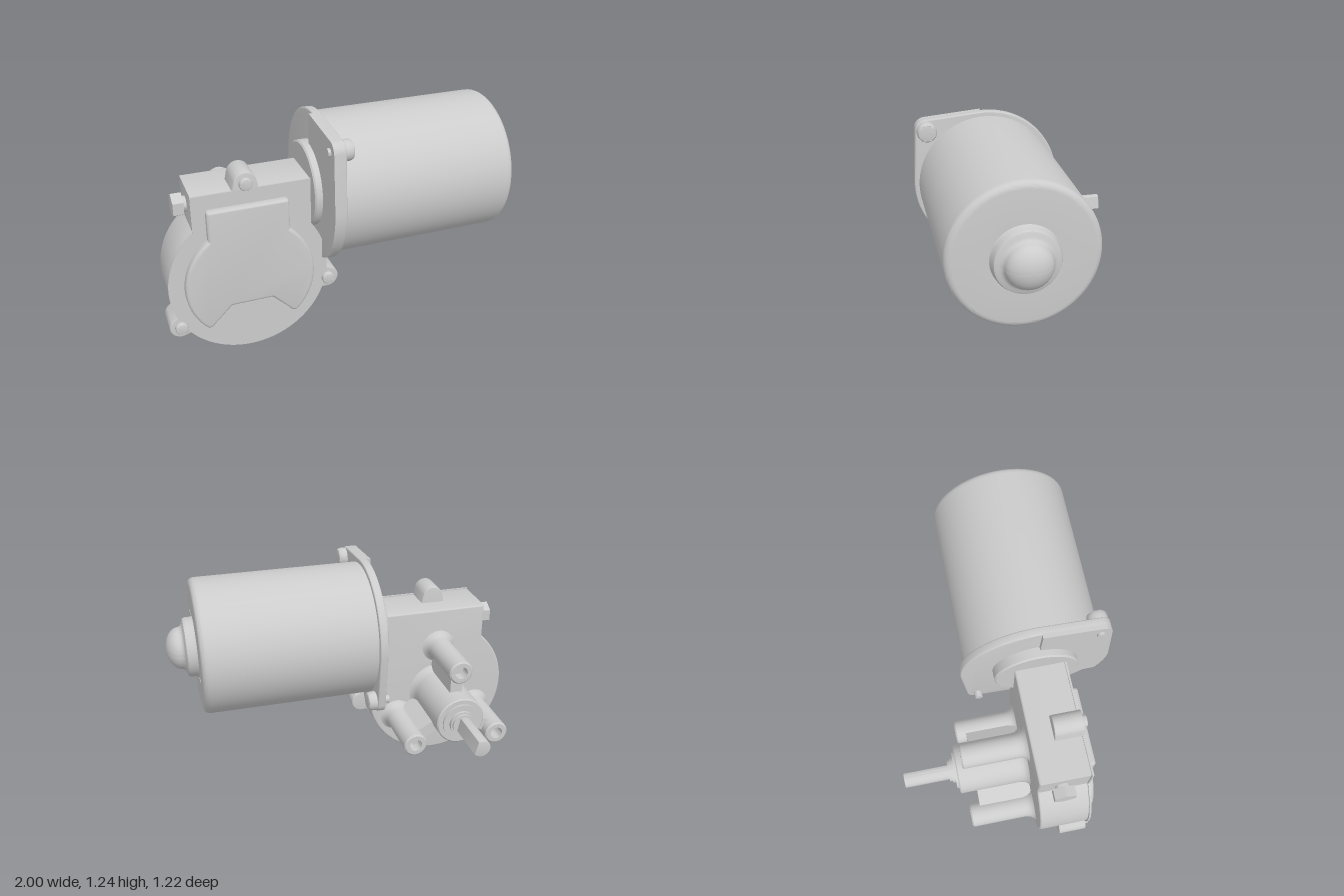
import * as THREE from 'three';
import { toCreasedNormals } from 'three/addons/utils/BufferGeometryUtils.js';

const mat = new THREE.MeshStandardMaterial({ color: 0xcccccc, side: THREE.DoubleSide });
const V = (x, y) => new THREE.Vector2(x, y);
const GX = -0.56, GY = 0.43;   // gear axis (along z)
const MY = 0.84, MZ = 0.205;   // motor axis (along x)

function add(parent, name, geo) {
  const mesh = new THREE.Mesh(toCreasedNormals(geo, 0.6), mat);
  mesh.name = name;
  parent.add(mesh);
  return mesh;
}

// Extrusion from z0 to z1; the bevel stays inside the given outline
function slab(shape, z0, z1, b = 0) {
  const geo = new THREE.ExtrudeGeometry(shape, {
    depth: z1 - z0 - 2 * b, curveSegments: 48, bevelEnabled: b > 0,
    bevelThickness: b, bevelSize: b, bevelOffset: -b, bevelSegments: 3,
  });
  return geo.translate(0, 0, z0 + b);
}

// Profiles of [radius, position]: turned about +x, or about -z
const lathe = (pts, n = 64) => new THREE.LatheGeometry(pts.map(p => V(...p)), n);
const turnX = (pts, n) => lathe(pts, n).rotateZ(-Math.PI / 2);
const turnBack = (pts, n) => lathe(pts, n).rotateX(-Math.PI / 2);

// Convex outline around circles [x, y, r]
function hull(circles, n = 120) {
  const pts = [];
  for (let i = 0; i < n; i++) {
    const a = (i / n) * Math.PI * 2, c = Math.cos(a), s = Math.sin(a);
    const support = k => k[0] * c + k[1] * s + k[2];
    const k = circles.reduce((p, q) => (support(q) > support(p) ? q : p));
    pts.push(V(k[0] + k[2] * c, k[1] + k[2] * s));
  }
  return pts;
}

// Gear housing outline: round case with a square worm box on top
function caseShape(r, inset) {
  const L = -0.84 + inset, R = -0.215 - inset, s = new THREE.Shape();
  const rise = x => Math.atan2(Math.sqrt(r * r - (x - GX) ** 2), x - GX);
  s.moveTo(R, 0.95 - inset);
  s.lineTo(L, 0.95 - inset);
  s.absarc(GX, GY, r, rise(L), rise(R), false);
  s.closePath();
  return s;
}

// Cross-slot screw facing +z
function screw(name, r, h) {
  const g = new THREE.Group();
  g.name = name;
  const head = new THREE.Shape().absarc(0, 0, r, 0, Math.PI * 2);
  const a = r * 0.14, b = r * 0.5;
  head.holes.push(new THREE.Path([
    V(a, a), V(a, b), V(-a, b), V(-a, a), V(-b, a), V(-b, -a),
    V(-a, -a), V(-a, -b), V(a, -b), V(a, -a), V(b, -a), V(b, a)]));
  const geo = new THREE.ExtrudeGeometry(head, {
    depth: h * 0.5, curveSegments: 16, bevelThickness: h * 0.5,
    bevelSize: r * 0.25, bevelOffset: -r * 0.25, bevelSegments: 3,
  });
  add(g, name + 'Head', geo);
  add(g, name + 'Core', new THREE.CylinderGeometry(r * 0.7, r * 0.7, h * 0.6, 24)
    .rotateX(Math.PI / 2).translate(0, 0, h * 0.3));
  return g;
}

export function createModel() {
  const model = new THREE.Group();

  // Motor can with rounded end, stepped boss and dome
  const motor = new THREE.Group();
  motor.name = 'motor';
  motor.position.set(0, MY, MZ);
  model.add(motor);
  const profile = [[0, -0.13], [0.38, -0.13], [0.38, 0.8]];
  for (let i = 1; i <= 6; i++) {
    const a = (i / 6) * Math.PI / 2;
    profile.push([0.345 + 0.035 * Math.cos(a), 0.805 + 0.035 * Math.sin(a)]);
  }
  profile.push([0.172, 0.84], [0.166, 0.85], [0.166, 0.88], [0.16, 0.894], [0.146, 0.9],
    [0.135, 0.902], [0.124, 0.908], [0.117, 0.92]);
  for (let i = 1; i <= 10; i++) {
    const a = (i / 10) * Math.PI / 2;
    profile.push([0.117 * Math.cos(a), 0.92 + 0.08 * Math.sin(a)]);
  }
  add(motor, 'motorCan', turnX(profile, 96));
  for (const s of [1, -1])
    add(motor, 'endPin', turnX([[0.018, 0.83], [0.018, 0.842], [0, 0.842]], 20))
      .position.set(0, 0.143 * s, 0.147 * s);

  // Mounting flange, its thicker front pad, and the adaptor disc
  const lugs = [[-0.53, 1.16], [0.11, 0.52]];
  const outline = hull([[-MZ, MY, 0.405], ...lugs.map(l => [...l, 0.06])]);
  add(model, 'flange', slab(new THREE.Shape(outline), -0.16, -0.115, 0.006).rotateY(Math.PI / 2));
  const pad = outline.filter(p => p.x <= -MZ && p.y >= 0.62);
  pad.push(V(-MZ, 0.62));
  add(model, 'flangePad', slab(new THREE.Shape(pad), -0.18, -0.15).rotateY(Math.PI / 2));
  add(model, 'adaptorDisc', turnX([[0, -0.22], [0.222, -0.22], [0.23, -0.212], [0.23, -0.15]]))
    .position.set(0, 0.85, MZ);
  for (const [u, y] of lugs) {
    const s = screw('flangeScrew', 0.054, 0.05);
    s.rotation.y = Math.PI / 2;
    s.position.set(-0.116, y, -u);
    model.add(s);
    add(model, 'screwTip', turnX([[0, -0.195], [0.022, -0.195], [0.022, -0.15]], 20))
      .position.set(0, y, -u);
  }

  // Gear housing with cover plate
  add(model, 'gearHousing', slab(caseShape(0.42, 0.004), 0.08, 0.352, 0.01));
  add(model, 'coverPlate', slab(caseShape(0.428, 0), 0.35, 0.36));

  // Raised cover panel
  const cover = new THREE.Shape();
  const deg = Math.PI / 180;
  cover.moveTo(-0.345, 0.855);
  cover.quadraticCurveTo(-0.345, 0.87, -0.36, 0.87);
  cover.lineTo(-0.755, 0.87);
  cover.quadraticCurveTo(-0.77, 0.87, -0.77, 0.855);
  cover.absarc(GX, GY, 0.345, 127.5 * deg, 222 * deg, false);
  cover.quadraticCurveTo(-0.79, 0.17, -0.76, 0.21);
  cover.lineTo(-0.67, 0.3);
  cover.lineTo(-0.45, 0.3);
  cover.lineTo(-0.36, 0.21);
  cover.quadraticCurveTo(-0.33, 0.17, GX + 0.345 * Math.cos(318 * deg), GY + 0.345 * Math.sin(318 * deg));
  cover.absarc(GX, GY, 0.345, 318 * deg, 51.5 * deg, false);
  cover.closePath();
  add(model, 'coverPanel', slab(cover, 0.34, 0.398, 0.015));

  // Cover lugs and screws
  for (const [x, y] of [[GX, 0.98], [-0.94, 0.205], [-0.128, 0.335]]) {
    const dx = (GX - x), dy = (GY - y), k = 0.1 / Math.hypot(dx, dy);
    const lug = hull([[x, y, 0.06], [x + dx * k, y + dy * k, 0.08]], 64);
    add(model, 'coverLug', slab(new THREE.Shape(lug), 0.205, 0.36, 0.004));
    const s = screw('coverScrew', 0.034, 0.025);
    s.position.set(x, y, 0.359);
    model.add(s);
  }

  // Output hub with bearing rings
  add(model, 'outputHub', turnBack([
    [0.18, -0.085], [0.158, -0.075], [0.145, -0.055], [0.14, -0.03], [0.14, 0.308], [0.133, 0.315],
    [0.108, 0.315], [0.108, 0.327], [0.072, 0.327], [0.072, 0.345], [0.062, 0.345], [0.062, 0.36],
    [0, 0.36]])).position.set(GX, GY, 0);

  // Output shaft with a flat toward the motor side
  const flat = new THREE.Shape();
  flat.absarc(0, 0, 0.05, 65 * deg, 319 * deg, false);
  flat.closePath();
  add(model, 'outputShaft', slab(flat, -0.612, -0.3, 0.004)).position.set(GX, GY, 0);

  // Three mounting posts joined to the hub by ribs
  for (const a of [90, 210, 330]) {
    const arm = new THREE.Group();
    arm.name = 'mountingPost';
    arm.position.set(GX, GY, 0);
    arm.rotation.z = a * deg;
    model.add(arm);
    add(arm, 'post', turnBack([
      [0.108, -0.085], [0.087, -0.075], [0.074, -0.055], [0.068, -0.03], [0.068, 0.272],
      [0.06, 0.28], [0.036, 0.28], [0.036, 0.18], [0, 0.18]], 40)).position.x = 0.288;
    add(arm, 'rib', new THREE.BoxGeometry(0.2, 0.07, 0.31)).position.set(0.2, 0, -0.065);
  }

  // Adjusting nut at the end of the worm
  add(model, 'adjusterStem', new THREE.CylinderGeometry(0.04, 0.04, 0.1, 24)
    .rotateZ(Math.PI / 2)).position.set(-0.85, 0.845, MZ);
  add(model, 'adjusterNut', new THREE.CylinderGeometry(0.065, 0.065, 0.055, 6)
    .rotateY(Math.PI / 6).rotateZ(Math.PI / 2)).position.set(-0.882, 0.845, MZ);

  return model;
}
